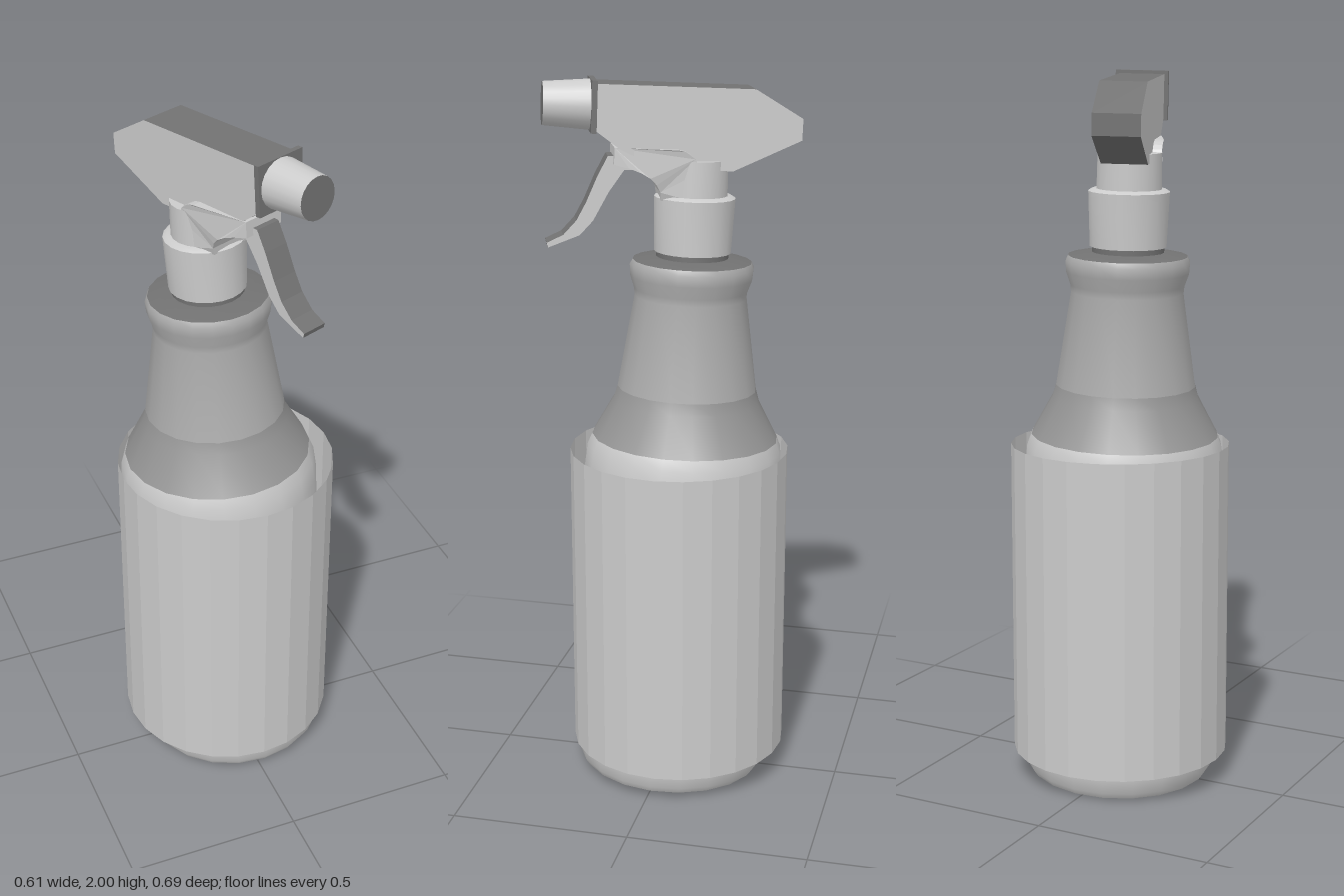
import * as THREE from 'three';
import { toCreasedNormals } from 'three/addons/utils/BufferGeometryUtils.js';

const material = new THREE.MeshStandardMaterial({ color: 0xcccccc });
const flat = new THREE.MeshStandardMaterial({ color: 0xcccccc, flatShading: true });
const sheet = new THREE.MeshStandardMaterial({ color: 0xcccccc, flatShading: true, side: THREE.DoubleSide });
const neckGrey = new THREE.MeshStandardMaterial({ color: 0xaeaeae });
const shoulderGrey = new THREE.MeshStandardMaterial({ color: 0x969696 });
const darkGrey = new THREE.MeshStandardMaterial({ color: 0x727272 });
const darkFlat = new THREE.MeshStandardMaterial({ color: 0x727272, flatShading: true });

function add(parent, name, geometry, mat = material) {
  const mesh = new THREE.Mesh(geometry, mat);
  mesh.name = name;
  parent.add(mesh);
  return mesh;
}

function lathe(points) {
  const profile = points.map(([r, y]) => new THREE.Vector2(r, y));
  return toCreasedNormals(new THREE.LatheGeometry(profile, 20), 0.6);
}

// Side outline (forward, up) extruded across x, centred; forward becomes +z.
function plate(shape, width) {
  const g = new THREE.ExtrudeGeometry(shape, { depth: width, bevelEnabled: false, curveSegments: 6 });
  g.translate(0, 0, -width / 2);
  g.rotateY(-Math.PI / 2);
  return g;
}

function polygon(points) {
  return new THREE.Shape(points.map(([u, y]) => new THREE.Vector2(u, y)));
}

export function createModel() {
  const model = new THREE.Group();
  model.name = 'sprayBottle';

  // Upright open label sleeve around the leaning bottle
  const sleeve = add(model, 'labelSleeve', new THREE.CylinderGeometry(0.307, 0.307, 0.89, 24, 1, true), sheet);
  sleeve.position.set(0, 0.525, -0.029);

  // Everything else leans slightly inside the sleeve
  const leaning = new THREE.Group();
  leaning.name = 'bottleAndSprayer';
  leaning.position.set(0.015, 0.012, -0.01);
  leaning.rotation.set(-0.031, 0, 0.036);
  model.add(leaning);

  // Bottle, in bands from the base up
  add(leaning, 'bottleBase', lathe([
    [0, 0], [0.258, 0], [0.27, 0.018], [0.277, 0.06], [0.28, 0.12],
    [0.28, 0.9], [0.274, 0.96], [0.262, 0.99],
  ]));
  add(leaning, 'bottleShoulder', lathe([[0.262, 0.99], [0.205, 1.095], [0.195, 1.13]]), shoulderGrey);
  add(leaning, 'bottleNeck', lathe([
    [0.195, 1.13], [0.156, 1.39], [0.158, 1.41], [0.17, 1.445], [0.172, 1.475], [0.165, 1.49],
  ]), neckGrey);
  add(leaning, 'bottleRimTop', lathe([[0.165, 1.49], [0.11, 1.5], [0.1, 1.5], [0.1, 1.53]]), darkGrey);

  add(leaning, 'screwCap', lathe([
    [0, 1.515], [0.106, 1.515], [0.112, 1.665], [0.1, 1.672], [0, 1.672],
  ]));

  // Sprayer head, turned to one side; local +z is the spray direction
  const sprayer = new THREE.Group();
  sprayer.name = 'sprayer';
  sprayer.rotation.y = 0.36;
  leaning.add(sprayer);

  // Body: light side faces, dark edge band
  const body = add(sprayer, 'sprayerBody', plate(polygon([
    [0.284, 1.967], [-0.143, 1.964], [-0.275, 1.889], [-0.275, 1.831],
    [-0.092, 1.745], [0.1, 1.745], [0.213, 1.795], [0.284, 1.845],
  ]), 0.127), [flat, darkFlat]);
  body.position.x = 0.003;

  add(sprayer, 'stem', new THREE.CylinderGeometry(0.088, 0.09, 0.11, 20)).position.y = 1.715;

  // Curved shroud bending from the stem towards the trigger, narrowing at its front
  const outline = new THREE.Shape();
  outline.moveTo(0, 1.66);
  outline.lineTo(0.1, 1.66);
  outline.quadraticCurveTo(0.1, 1.735, 0.23, 1.755);
  outline.lineTo(0.23, 1.8);
  outline.lineTo(0.06, 1.8);
  outline.quadraticCurveTo(0, 1.795, 0, 1.72);
  const shroud = plate(outline, 0.172);
  const p = shroud.attributes.position;
  for (let i = 0; i < p.count; i++) {
    const front = THREE.MathUtils.clamp((p.getZ(i) - 0.1) / 0.13, 0, 1);
    const low = p.getZ(i) > 0.05 ? THREE.MathUtils.clamp((1.74 - p.getY(i)) / 0.08, 0, 1) : 0;
    p.setX(i, p.getX(i) * (1 - 0.3 * front - 0.35 * low));
  }
  add(sprayer, 'shroud', shroud, flat);

  // Trigger lever: light side faces, dark edge band
  add(sprayer, 'trigger', plate(polygon([
    [0.125, 1.74], [0.2, 1.738], [0.24, 1.678], [0.28, 1.6], [0.315, 1.56],
    [0.4, 1.525], [0.404, 1.538], [0.36, 1.56], [0.325, 1.6], [0.3, 1.65],
    [0.272, 1.72], [0.245, 1.775], [0.145, 1.78],
  ]), 0.074), [flat, darkFlat]);

  // Nozzle with its square collar and dark tip
  const collar = add(sprayer, 'nozzleCollar', new THREE.BoxGeometry(0.15, 0.138, 0.015), darkFlat);
  collar.position.set(0.003, 1.907, 0.288);
  const nozzle = add(sprayer, 'nozzle', new THREE.CylinderGeometry(0.058, 0.068, 0.13, 20),
    [material, darkGrey, material]);
  nozzle.rotation.x = Math.PI / 2;
  nozzle.position.set(0.003, 1.907, 0.357);

  return model;
}
